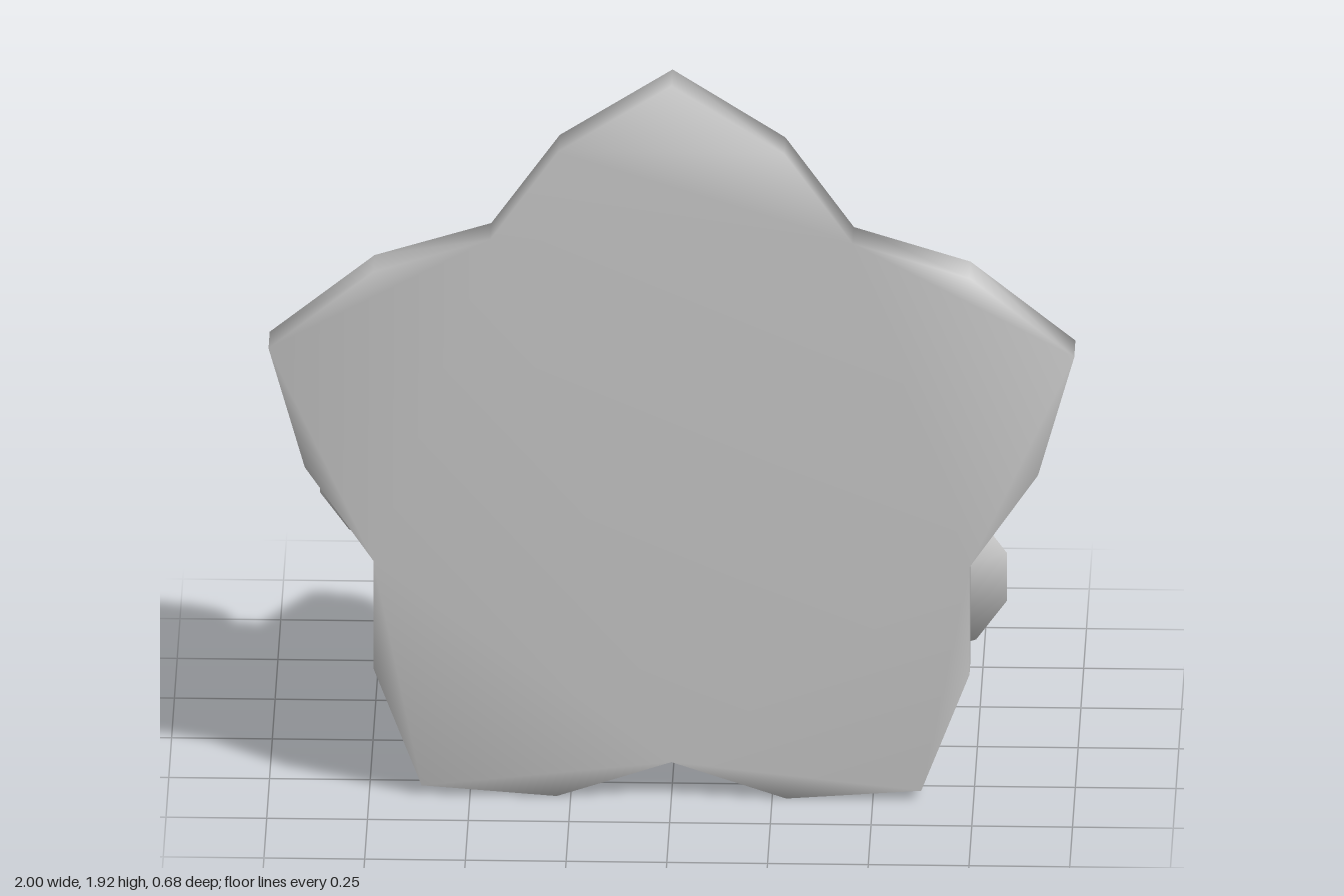
import * as THREE from 'three';
import { mergeVertices } from 'three/addons/utils/BufferGeometryUtils.js';

// Weld corners so shading runs smoothly over every edge
function smooth(geometry) {
  geometry.deleteAttribute('normal');
  geometry.deleteAttribute('uv');
  geometry.clearGroups();
  const welded = mergeVertices(geometry, 1e-4);
  welded.computeVertexNormals();
  return welded;
}

export function createModel() {
  const group = new THREE.Group();
  group.name = 'starWithCones';
  const grey = new THREE.MeshStandardMaterial({ color: 0xcccccc });
  grey.name = 'light grey';

  const add = (geometry, name) => {
    const mesh = new THREE.Mesh(smooth(geometry), grey);
    mesh.name = name;
    group.add(mesh);
  };

  // Five-armed plate: right half of the outline, mirrored
  const backZ = 0.235, frontZ = 0.34;
  const half = [
    [0, 1.92], [0.28, 1.74], [0.45, 1.5], [0.74, 1.41], [1, 1.2], [0.91, 0.88],
    [0.74, 0.63], [0.74, 0.34], [0.62, 0.025], [0.285, 0], [0, 0.095],
  ];
  const mirrored = half.slice(1, -1).reverse().map(([x, y]) => [-x, y]);
  const outline = new THREE.Shape([...half, ...mirrored].map(([x, y]) => new THREE.Vector2(x, y)));
  const plate = new THREE.ExtrudeGeometry(outline, { depth: frontZ - backZ, bevelEnabled: false });
  plate.translate(0, 0, backZ);
  add(plate, 'starPlate');

  // Ten-sided blunt cones on the back: x, y, base radius, tip radius, tip z
  const cones = [
    [0, 0.875, 0.37, 0.12, -0.34],
    [0.5, 1.055, 0.293, 0.094, -0.205],
    [-0.46, 1.19, 0.27, 0.088, -0.18],
    [0.135, 1.515, 0.215, 0.07, -0.095],
    [0.63, 0.56, 0.21, 0.067, -0.07],
    [-0.685, 0.83, 0.2, 0.067, -0.07],
    [0.18, 0.325, 0.272, 0.086, -0.178],
    [-0.32, 0.455, 0.235, 0.076, -0.125],
    [-0.095, 1.17, 0.165, 0.056, -0.045],
  ];
  cones.forEach(([x, y, base, tip, tipZ], i) => {
    const cone = new THREE.CylinderGeometry(tip, base, backZ - tipZ, 10);
    cone.rotateX(-Math.PI / 2);
    cone.translate(x, y, (backZ + tipZ) / 2);
    add(cone, `backCone${i + 1}`);
  });

  return group;
}
